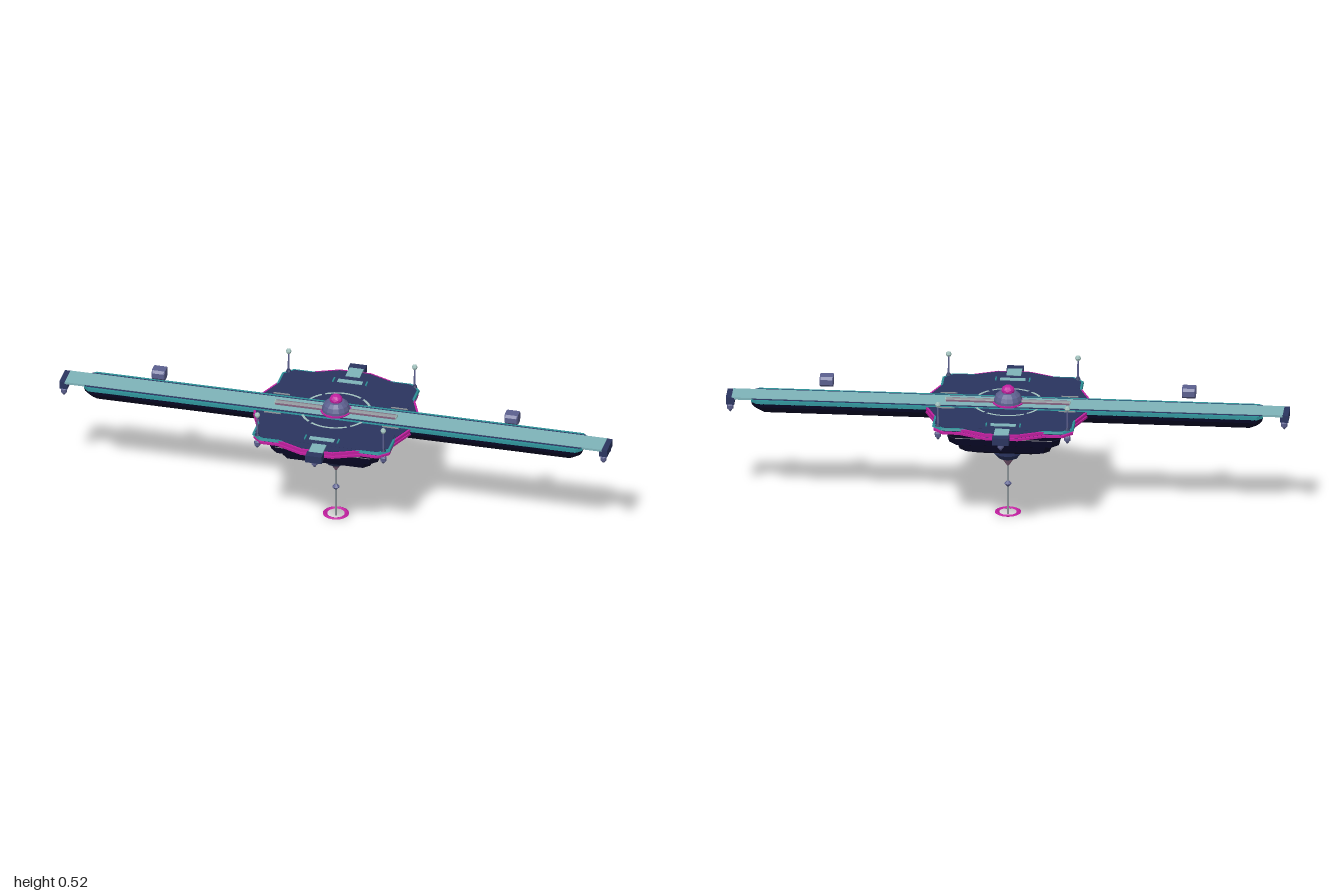
import * as THREE from 'three';

const mat = (name, color, opts = {}) => {
  const m = new THREE.MeshStandardMaterial({ color, flatShading: true, ...opts });
  m.name = name;
  return m;
};

// Chamfered-rectangle loft; each section is [halfX, halfZ, chamfer, y], bottom to top
function loft(sections) {
  const rings = sections.map(([a, b, c, y]) => [
    [a, b - c], [a - c, b], [c - a, b], [-a, b - c], [-a, c - b], [c - a, -b], [a - c, -b], [a, c - b],
  ].map(([x, z]) => [x, y, z]));
  const pos = [];
  const tri = (a, b, c) => pos.push(...a, ...b, ...c);
  for (let r = 0; r + 1 < rings.length; r++) {
    for (let i = 0; i < 8; i++) {
      const j = (i + 1) % 8, lo = rings[r], hi = rings[r + 1];
      tri(lo[i], hi[i], hi[j]);
      tri(lo[i], hi[j], lo[j]);
    }
  }
  const first = rings[0], last = rings[rings.length - 1];
  for (let i = 1; i < 7; i++) {
    tri(first[0], first[i], first[i + 1]);
    tri(last[0], last[i + 1], last[i]);
  }
  const g = new THREE.BufferGeometry();
  g.setAttribute('position', new THREE.Float32BufferAttribute(pos, 3));
  g.computeVertexNormals();
  return g;
}

// Lathe from [radius, y] points, bottom to top
const lathe = (pts, sides) => new THREE.LatheGeometry(pts.map(([r, y]) => new THREE.Vector2(r, y)), sides);

export function createModel() {
  const root = new THREE.Group();
  root.name = 'floatingPlatform';
  const navy = mat('navy', 0x2a345f);
  const dark = mat('dark hull', 0x090928);
  const pale = mat('pale teal', 0x7eb3b9);
  const teal = mat('teal trim', 0x2c8f96);
  const magenta = mat('magenta', 0xc01f9f);
  const violet = mat('grey violet', 0x5c608f);
  const mauve = mat('mauve', 0x84627f);
  const steel = mat('steel', 0x8a9296);
  const glass = mat('lamp glass', 0xa0c0bc, { side: THREE.DoubleSide });

  const add = (name, geo, material, x = 0, y = 0, z = 0) => {
    const m = new THREE.Mesh(geo, material);
    m.name = name;
    m.position.set(x, y, z);
    root.add(m);
    return m;
  };
  const box = (name, w, h, d, material, x, y, z) => add(name, new THREE.BoxGeometry(w, h, d), material, x, y, z);
  const disc = (name, r, y0, y1, material) =>
    add(name, new THREE.CylinderGeometry(r, r, y1 - y0, 16), material, 0, (y0 + y1) / 2, 0).rotateY(Math.PI / 16);
  const square = (s, c, y) => [s, s, c, y];

  // Main deck: sixteen-sided disc merged with a chamfered square
  disc('deckDisc', 0.286, 0.401, 0.428, navy);
  disc('upperGlowBand', 0.294, 0.416, 0.4265, magenta);
  disc('lowerGlowBand', 0.294, 0.404, 0.412, magenta);
  add('deckSquare', loft([square(0.225, 0.03, 0.4), square(0.24, 0.032, 0.41), square(0.243, 0.032, 0.4285)]), navy);
  add('deckSquareGlow', loft([square(0.248, 0.034, 0.404), square(0.248, 0.034, 0.412)]), magenta);
  add('deckSquareTrim', loft([square(0.246, 0.034, 0.417), square(0.252, 0.034, 0.42), square(0.25, 0.034, 0.4275)]), teal);

  // Stepped square hull beneath the deck
  add('hull', loft([
    [0.107, 0.278], [0.16, 0.305], [0.17, 0.332], [0.195, 0.343], [0.202, 0.369],
    [0.2, 0.371], [0.21, 0.393], [0.222, 0.403],
  ].map(([s, y]) => square(s, s * 0.14, y))), dark);

  // Lower core, tip, mast and hanging ring
  add('lowerCore', lathe([[0, 0.221], [0.036, 0.221], [0.053, 0.241], [0.057, 0.28]], 12), navy);
  add('coreTip', lathe([[0, 0.185], [0.004, 0.188], [0.026, 0.222]], 10), mauve);
  add('mast', new THREE.CylinderGeometry(0.0042, 0.0042, 0.195, 8), steel, 0, 0.0975, 0);
  add('mastBead', lathe([[0, 0.107], [0.004, 0.107], [0.013, 0.117], [0.013, 0.119], [0.004, 0.129], [0, 0.129]], 8), violet);
  const ring = add('mastRing', new THREE.TorusGeometry(0.039, 0.008, 4, 20), magenta, 0, 0.009, 0);
  ring.rotation.x = Math.PI / 2;
  ring.scale.z = 0.5;

  // Long bridge
  const span = (inset, y) => [0.91 - inset, 0.062 - inset, 0.02, y];
  add('bridgeHull', loft([span(0.028, 0.376), span(0.016, 0.388), span(0.004, 0.404), span(0, 0.418)]), dark);
  add('bridgeTrim', loft([span(0, 0.4175), span(0.001, 0.4288)]), teal);
  add('bridgeBorder', loft([[0.91, 0.05, 0.01, 0.418], [0.91, 0.05, 0.01, 0.4297]]), navy);
  box('bridgeWalkway', 1.96, 0.008, 0.084, pale, 0, 0.4275, 0);
  for (const s of [-1, 1]) {
    box('bridgeEndCap', 0.03, 0.027, 0.084, navy, s * 0.985, 0.417, 0);
    // Floating lamps above the bridge, chamfered along the bridge direction
    add('floatingLamp', loft([
      [0.024, 0.015, 0.003, 0.474], [0.024, 0.026, 0.004, 0.484],
      [0.024, 0.026, 0.004, 0.503], [0.024, 0.018, 0.003, 0.512],
    ]), violet, s * 0.644, 0, 0);
    // Side arm on the front and back of the deck
    box('arm', 0.052, 0.009, 0.06, pale, 0, 0.4265, s * 0.273);
    box('armEndCap', 0.06, 0.027, 0.036, navy, 0, 0.417, s * 0.315);
  }

  // Half-round rail along the walkway
  const rail = add('walkwayRail', new THREE.CylinderGeometry(0.011, 0.011, 0.44, 8), steel, 0, 0.431, 0);
  rail.rotation.z = Math.PI / 2;
  for (const s of [-1, 1]) {
    box('railEdge', 0.44, 0.006, 0.004, mauve, 0, 0.434, s * 0.012);
    box('railEnd', 0.004, 0.01, 0.022, glass, s * 0.221, 0.435, 0);
  }

  // Dome and beacon
  add('domeGlow', new THREE.CylinderGeometry(0.056, 0.056, 0.008, 16), magenta, 0, 0.431, 0);
  add('dome', lathe([[0.051, 0.428], [0.05, 0.444], [0.044, 0.459], [0.031, 0.47], [0, 0.474]], 14), violet);
  add('beacon', new THREE.IcosahedronGeometry(0.024, 1), magenta, 0, 0.477, 0).scale.y = 0.8;

  // Deck inlays: broken circle and striped bars
  for (const mid of [90, 270]) {
    for (const [from, to] of [[-62, -38], [-32, 32], [38, 62]]) {
      const start = THREE.MathUtils.degToRad(mid + from), len = THREE.MathUtils.degToRad(to - from);
      const arc = add('circleInlay', new THREE.RingGeometry(0.118, 0.127, 12, 1, start, len), glass, 0, 0.4305, 0);
      arc.rotation.x = -Math.PI / 2;
    }
  }
  for (const s of [-1, 1]) {
    box('barInlay', 0.09, 0.004, 0.02, pale, 0, 0.4295, s * 0.207);
    for (const t of [-1, 1]) {
      box('barTick', 0.005, 0.006, 0.028, teal, t * 0.06, 0.4295, s * 0.207);
      box('bridgeTick', 0.06, 0.004, 0.005, steel, t * 0.215, 0.4295, s * 0.068);
    }
  }

  // Hanging thrusters
  const podGeo = lathe([[0, -0.025], [0.003, -0.023], [0.009, -0.014], [0.011, -0.013], [0.012, 0], [0.008, 0.006]], 8);
  const pod = (x, y, z) => add('thruster', podGeo, violet, x, y, z);

  for (const sx of [-1, 1]) {
    pod(0, 0.402, sx * 0.315);
    for (const sz of [-1, 1]) {
      const x = sx * 0.23, z = sz * 0.23;
      pod(sx * 0.985, 0.399, sz * 0.033);
      pod(x, 0.401, z);
      // Corner lamp posts
      add('postBase', new THREE.CylinderGeometry(0.005, 0.01, 0.01, 8), navy, x, 0.433, z);
      add('post', new THREE.CylinderGeometry(0.003, 0.004, 0.07, 6), violet, x, 0.466, z);
      add('postLamp', new THREE.SphereGeometry(0.0105, 8, 4), glass, x, 0.51, z);
    }
  }
  return root;
}
